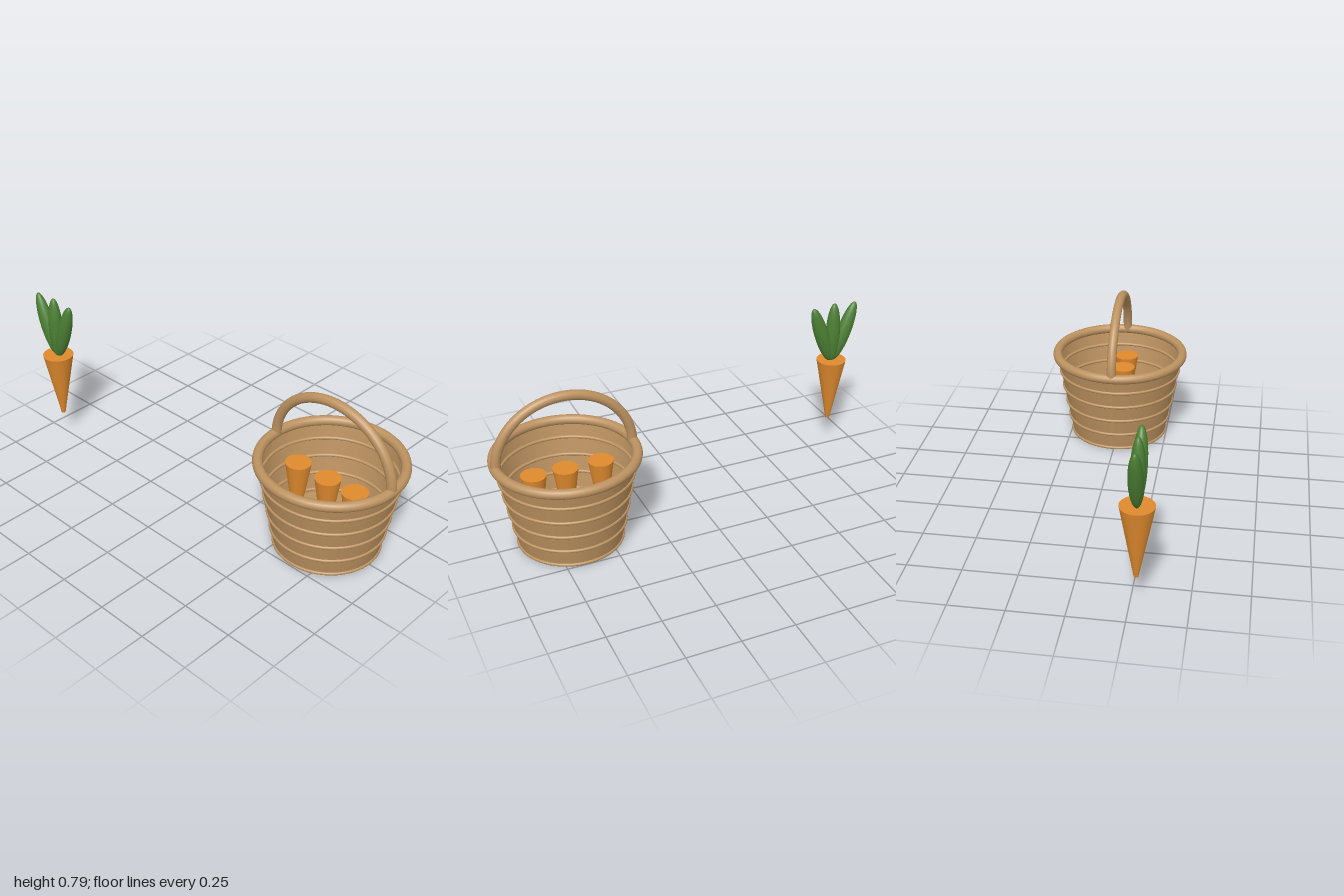
import * as THREE from 'three';

export function createModel() {
  const model = new THREE.Group();
  const mat = (name, color, side = THREE.FrontSide) => {
    const m = new THREE.MeshStandardMaterial({ color, side });
    m.name = name;
    return m;
  };
  const wicker = mat('wicker', 0xbc9260, THREE.DoubleSide);
  const orange = mat('carrotOrange', 0xe08a2e);
  const green = mat('leafGreen', 0x4c8034);

  const add = (parent, name, geometry, material, x = 0, y = 0, z = 0) => {
    const mesh = new THREE.Mesh(geometry, material);
    mesh.name = name;
    mesh.position.set(x, y, z);
    parent.add(mesh);
    return mesh;
  };

  // Basket: tapered open shell with a raised floor
  const basket = new THREE.Group();
  basket.name = 'basket';
  basket.position.set(0.652, 0, -0.003);
  model.add(basket);
  const wallRadius = (y) => 0.242 + 0.184 * y;
  const wall = new THREE.CylinderGeometry(wallRadius(0.44), wallRadius(0.004), 0.436, 64, 1, true);
  add(basket, 'basketWall', wall, wicker, 0, 0.222, 0);
  const floor = new THREE.CircleGeometry(wallRadius(0.08), 64).rotateX(-Math.PI / 2);
  add(basket, 'basketFloor', floor, wicker, 0, 0.08, 0);

  // Woven bands and thick rim
  const ring = (name, radius, tube, y) =>
    add(basket, name, new THREE.TorusGeometry(radius, tube, 16, 72).rotateX(Math.PI / 2), wicker, 0, y, 0);
  for (let i = 0; i < 5; i++) {
    const y = 0.0095 + i * 0.086;
    ring('basketBand', wallRadius(y), 0.008, y);
  }
  ring('basketRim', 0.323, 0.0235, 0.44);

  // Arched handle
  const arch = [];
  for (let i = 0; i <= 24; i++) {
    const a = (i / 24) * Math.PI;
    arch.push(new THREE.Vector3(0.32 * Math.cos(a), 0.44 + 0.297 * Math.sin(a), 0));
  }
  const handle = new THREE.TubeGeometry(new THREE.CatmullRomCurve3(arch), 64, 0.023, 16);
  add(basket, 'basketHandle', handle, wicker);

  // Carrots standing in the basket, tips through the floor
  for (const x of [-0.17, 0, 0.15]) {
    add(basket, 'basketCarrot', new THREE.CylinderGeometry(0.06, 0.01, 0.34, 32), orange, x, 0.19, 0.018);
  }

  // Single carrot beside the basket
  const carrot = new THREE.Group();
  carrot.name = 'looseCarrot';
  carrot.position.set(-0.871, 0, 0.275);
  model.add(carrot);
  add(carrot, 'carrotRoot', new THREE.CylinderGeometry(0.075, 0.01, 0.342, 32), orange, 0, 0.311, 0);

  // Three fanned leaves
  for (const side of [-1, 0, 1]) {
    const leaf = add(carrot, 'carrotLeaf', new THREE.SphereGeometry(1, 32, 20), green,
      side * 0.065, 0.631, 0);
    leaf.scale.set(0.037, 0.16, 0.032);
    leaf.rotation.z = -side * 0.34;
  }
  return model;
}
